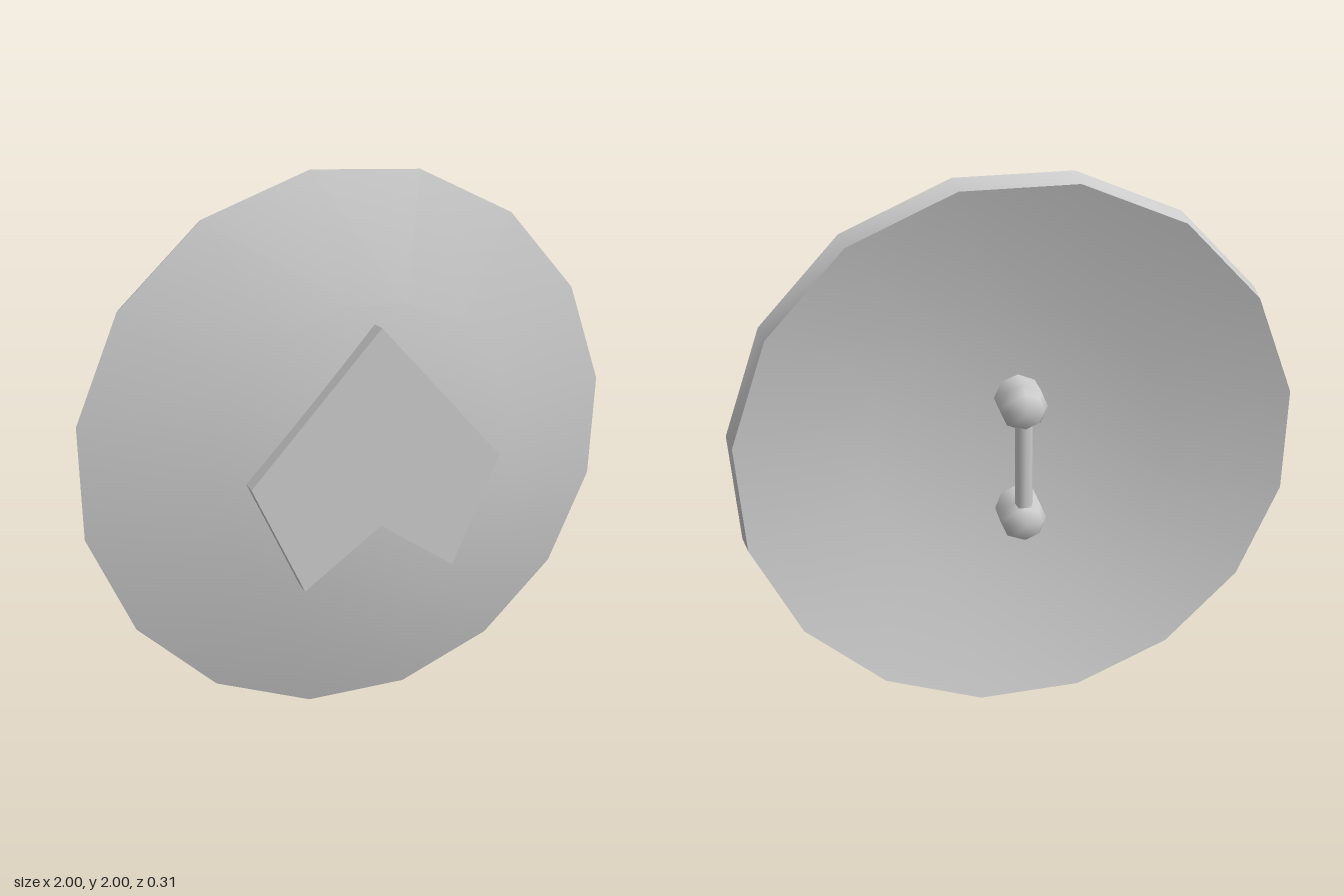
import * as THREE from 'three';
import { mergeVertices } from 'three/addons/utils/BufferGeometryUtils.js';

const material = new THREE.MeshStandardMaterial({ color: 0xcccccc });
const points = (list) => list.map(([a, b]) => new THREE.Vector2(a, b));

function addMesh(parent, name, geometry) {
  const mesh = new THREE.Mesh(geometry, material);
  mesh.name = name;
  parent.add(mesh);
  return mesh;
}

// Turned surface with welded seam and pole, so it shades smoothly throughout
function turned(profile, sides, start = 0) {
  const lathe = new THREE.LatheGeometry(points(profile), sides, THREE.MathUtils.degToRad(start));
  lathe.deleteAttribute('normal');
  lathe.deleteAttribute('uv');
  const welded = mergeVertices(lathe, 1e-4);
  welded.computeVertexNormals();
  return welded;
}

// Sixteen-sided ring surface around the z axis from [radius, z] pairs
const dish = (profile) => turned(profile, 16, 10.1).rotateX(Math.PI / 2);

export function createModel() {
  const shield = new THREE.Group();
  shield.name = 'shield';

  // Everything is laid out around the shield's centre
  const body = new THREE.Group();
  body.name = 'shieldBody';
  body.position.y = 1;
  shield.add(body);

  // Domed front, slanted rim and hollow back; separate so their edges stay sharp
  addMesh(body, 'frontFace', dish([[1.017, -0.035], [0.575, 0.085], [0, 0.118]]));
  addMesh(body, 'rim', dish([[0.993, -0.135], [1.017, -0.035]]));
  addMesh(body, 'hollowBack', dish([[0, 0.02], [0.56, -0.015], [0.993, -0.135]]));

  // Raised arrowhead plate on the front
  const outline = new THREE.Shape(points([
    [0, 0.5], [-0.47, -0.01], [-0.29, -0.42], [0, -0.215], [0.29, -0.42], [0.47, -0.01],
  ]));
  const plate = new THREE.ExtrudeGeometry(outline, { depth: 0.093, bevelEnabled: false });
  addMesh(body, 'frontPlate', plate).position.z = 0.06;

  // Grip: two round-ended posts joined by a thin bar
  const handle = new THREE.Group();
  handle.name = 'handle';
  body.add(handle);
  const postProfile = [[0.085, -0.04], [0.085, 0.1], [0.065, 0.136], [0, 0.153]];
  for (const [name, y] of [['upperPost', 0.22], ['lowerPost', -0.22]]) {
    addMesh(handle, name, turned(postProfile, 8).rotateX(-Math.PI / 2)).position.y = y;
  }
  const bar = new THREE.CylinderGeometry(0.032, 0.032, 0.44, 8, 1, true);
  addMesh(handle, 'gripBar', bar).position.z = -0.103;

  return shield;
}
